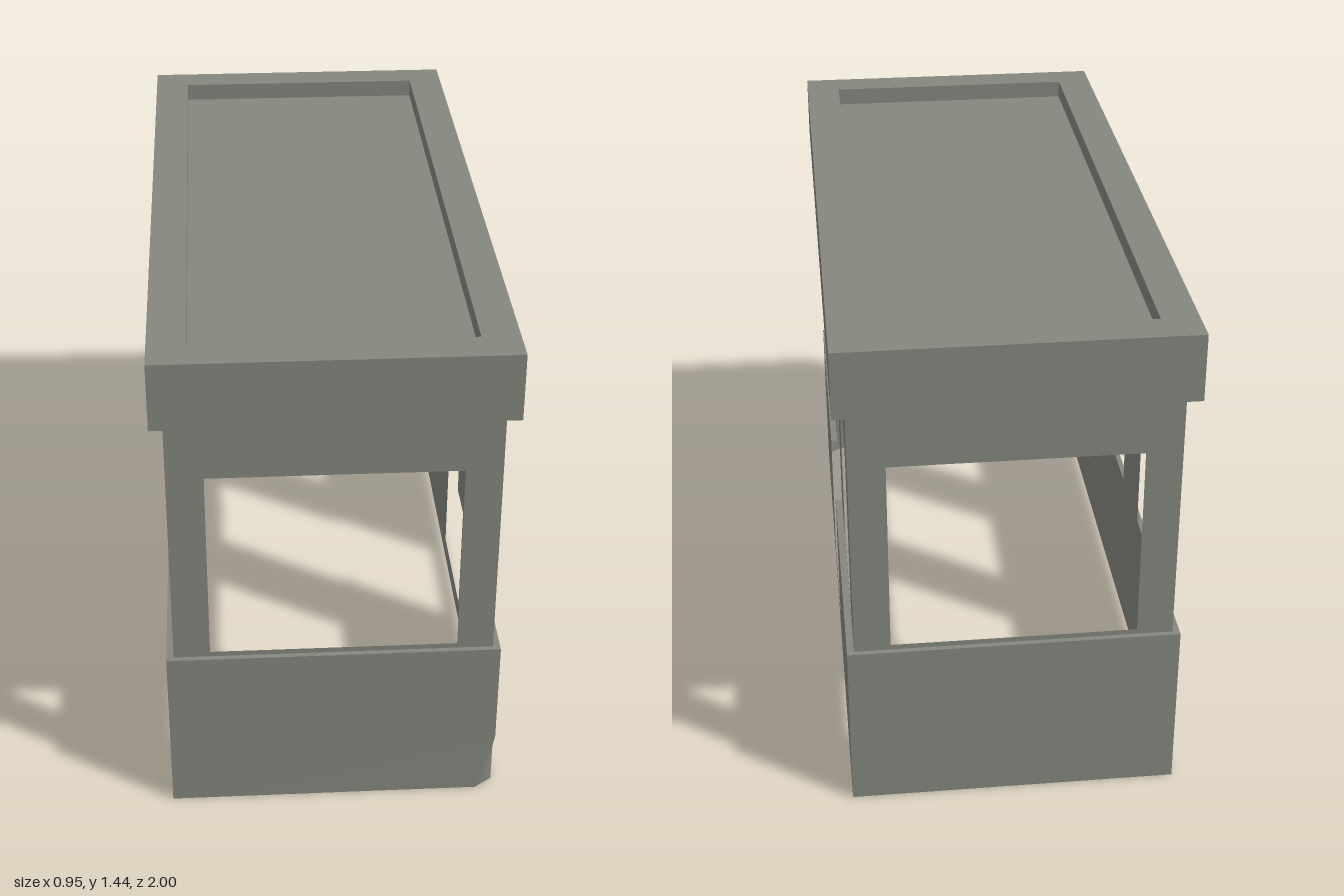
import * as THREE from 'three';

const grey = new THREE.MeshStandardMaterial({ color: 0x85877f, side: THREE.DoubleSide });
grey.name = 'wallGrey';

// Outer faces of the lower wall, the upper wall and the roof
const LOW = { x: 0.46, front: 0.98, back: -0.975 };
const UP = { x: 0.44, front: 0.965, back: -0.96 };
const LEDGE = 0.5, EAVE = 1.25, SILL = 0.515, HEAD = 1.08;
const DOOR = { half: 0.18, sill: 0.06, head: 1.055 };

const points = (list) => list.map(([x, y]) => new THREE.Vector2(x, y));
const rect = (u0, u1, v0, v1) => [[u0, v0], [u1, v0], [u1, v1], [u0, v1]];

function mesh(name, geometry) {
  const m = new THREE.Mesh(geometry, grey);
  m.name = name;
  return m;
}

// Flat sheet with holes, drawn in its own plane
function sheet(outline, holes = []) {
  const shape = new THREE.Shape(points(outline));
  for (const h of holes) shape.holes.push(new THREE.Path(points(h)));
  return new THREE.ShapeGeometry(shape);
}

// Sheets facing each way; u runs along x for front/back and along z for sides
const flip = (list) => list.map(([u, v]) => [-u, v]);
const leftSheet = (x, outline, holes = []) =>
  sheet(flip(outline), holes.map(flip)).rotateY(Math.PI / 2).translate(x, 0, 0);
const rightSheet = (x, outline, holes = []) =>
  sheet(outline, holes).rotateY(-Math.PI / 2).translate(-x, 0, 0);
const backSheet = (z, outline, holes = []) =>
  sheet(flip(outline), holes.map(flip)).rotateY(Math.PI).translate(0, 0, z);
const frontSheet = (z, outline, holes = []) => sheet(outline, holes).translate(0, 0, z);
const flatSheet = (y, outline) => sheet(flip(outline).map(([x, z]) => [-x, -z])).rotateX(-Math.PI / 2).translate(0, y, 0);

// Rectangular rings [halfX, halfZ, y] joined into a sharp-edged skin
function ringSkin(rings) {
  const corners = rings.map(([x, z, y]) => [[x, y, z], [x, y, -z], [-x, y, -z], [-x, y, z]]);
  const pos = [];
  for (let r = 0; r < corners.length - 1; r++) {
    for (let i = 0; i < 4; i++) {
      const j = (i + 1) % 4, a = corners[r], b = corners[r + 1];
      pos.push(...a[i], ...a[j], ...b[j], ...a[i], ...b[j], ...b[i]);
    }
  }
  const g = new THREE.BufferGeometry();
  g.setAttribute('position', new THREE.Float32BufferAttribute(pos, 3));
  g.computeVertexNormals();
  return g;
}

// Lower front panel, blending softly into the cut-off bottom corner
function frontPanel() {
  const { x, front: z } = LOW;
  const g = new THREE.BufferGeometry();
  g.setAttribute('position', new THREE.Float32BufferAttribute([
    -x, 0, z, 0.41, 0, z, x, 0.19, z, x, LEDGE, z, -x, LEDGE, z,
    x, 0.12, 0.945, x, 0, 0.945,
  ], 3));
  g.setIndex([0, 1, 2, 0, 2, 4, 2, 3, 4, 1, 5, 2, 1, 6, 5]);
  g.computeVertexNormals();
  return g;
}

export function createModel() {
  const model = new THREE.Group();
  model.name = 'booth';
  const d = DOOR.half;

  // Lower walls
  const lower = new THREE.Group();
  lower.name = 'lowerWalls';
  lower.add(
    mesh('lowerFront', frontPanel()),
    mesh('lowerBack', backSheet(LOW.back, rect(-LOW.x, LOW.x, 0, LEDGE))),
    mesh('lowerRightSide', rightSheet(LOW.x, rect(LOW.back, LOW.front, 0, LEDGE))),
    mesh('lowerDoorSide', leftSheet(LOW.x, [
      [LOW.back, 0], [0.945, 0], [0.945, 0.12], [LOW.front, 0.19], [LOW.front, LEDGE],
      [d, LEDGE], [d, DOOR.sill], [-d, DOOR.sill], [-d, LEDGE], [LOW.back, LEDGE],
    ])),
  );

  // Narrow ledge between lower and upper walls, broken at the door
  const ledge = new THREE.Group();
  ledge.name = 'ledge';
  for (const [x0, x1, z0, z1] of [
    [-LOW.x, LOW.x, UP.front, LOW.front],
    [-LOW.x, LOW.x, LOW.back, UP.back],
    [-LOW.x, -UP.x, UP.back, UP.front],
    [UP.x, LOW.x, d, UP.front],
    [UP.x, LOW.x, UP.back, -d],
  ]) ledge.add(mesh('ledgeStrip', flatSheet(LEDGE, rect(x0, x1, z0, z1))));

  // Upper walls with window openings
  const upper = new THREE.Group();
  upper.name = 'upperWalls';
  const endWall = rect(-UP.x, UP.x, LEDGE, EAVE);
  const endWindow = rect(-0.34, 0.34, SILL, HEAD);
  const sideWindows = [rect(0.43, 0.82, SILL, HEAD), rect(-0.8, -0.42, SILL, HEAD)];
  upper.add(
    mesh('upperFront', frontSheet(UP.front, endWall, [endWindow])),
    mesh('upperBack', backSheet(UP.back, endWall, [endWindow])),
    mesh('upperRightSide', rightSheet(UP.x, rect(UP.back, UP.front, LEDGE, EAVE),
      [...sideWindows, rect(-d, d, SILL, DOOR.head)])),
    mesh('upperDoorSide', leftSheet(UP.x, [
      [UP.back, LEDGE], [-d, LEDGE], [-d, DOOR.head], [d, DOOR.head], [d, LEDGE],
      [UP.front, LEDGE], [UP.front, EAVE], [UP.back, EAVE],
    ], sideWindows)),
  );

  // Roof: hollow fascia and rim around a sunken panel
  const roof = new THREE.Group();
  roof.name = 'roof';
  roof.add(
    mesh('roofRim', ringSkin([
      [UP.x, 0.962, EAVE], [0.475, 1, EAVE], [0.475, 1, 1.44], [0.373, 0.9, 1.44], [0.373, 0.9, 1.388],
    ])),
    mesh('roofPanel', flatSheet(1.388, rect(-0.373, 0.373, -0.9, 0.9))),
  );

  model.add(lower, ledge, upper, roof);
  return model;
}
